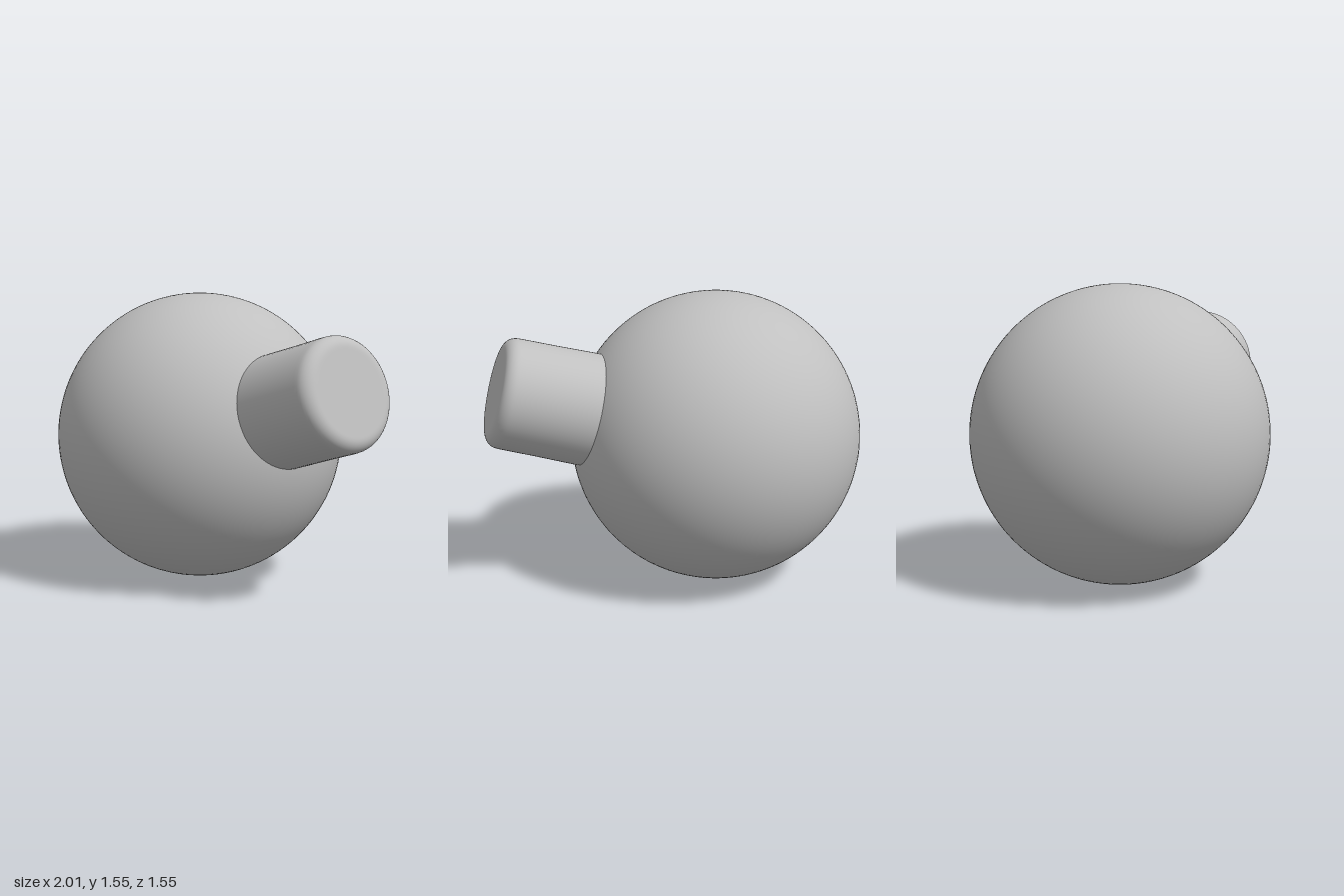
import * as THREE from 'three';

export function createModel() {
  const model = new THREE.Group();
  const grey = new THREE.MeshStandardMaterial({ color: 0xc0c0c0 });
  grey.name = 'plain grey';

  // Both parts share the ball's centre; the neck points out along a tilted radius
  const center = new THREE.Vector3(-0.225, 0.775, 0);
  const tilt = THREE.MathUtils.degToRad(15.5);

  // Round body
  const ball = new THREE.Mesh(new THREE.SphereGeometry(0.775, 96, 64), grey);
  ball.name = 'ball';
  ball.position.copy(center);
  model.add(ball);

  // Slightly tapered neck with a rounded rim and a flat end
  const end = 1.215, bevel = 0.065, rim = 0.286;
  const profile = [
    new THREE.Vector2(0.297, 0.62),
    new THREE.Vector2(0.296, 0.74),
    new THREE.Vector2(0.29, 0.95),
    new THREE.Vector2(rim + 0.001, end - bevel - 0.02),
  ];
  for (let i = 0; i <= 8; i++) {
    const a = (i / 8) * Math.PI / 2;
    profile.push(new THREE.Vector2(
      rim - bevel + Math.cos(a) * bevel,
      end - bevel + Math.sin(a) * bevel));
  }
  profile.push(new THREE.Vector2(rim - bevel - 0.01, end), new THREE.Vector2(0, end));

  const neck = new THREE.Mesh(new THREE.LatheGeometry(profile, 64), grey);
  neck.name = 'neck';
  neck.position.copy(center);
  neck.rotation.z = tilt - Math.PI / 2;
  model.add(neck);

  return model;
}
